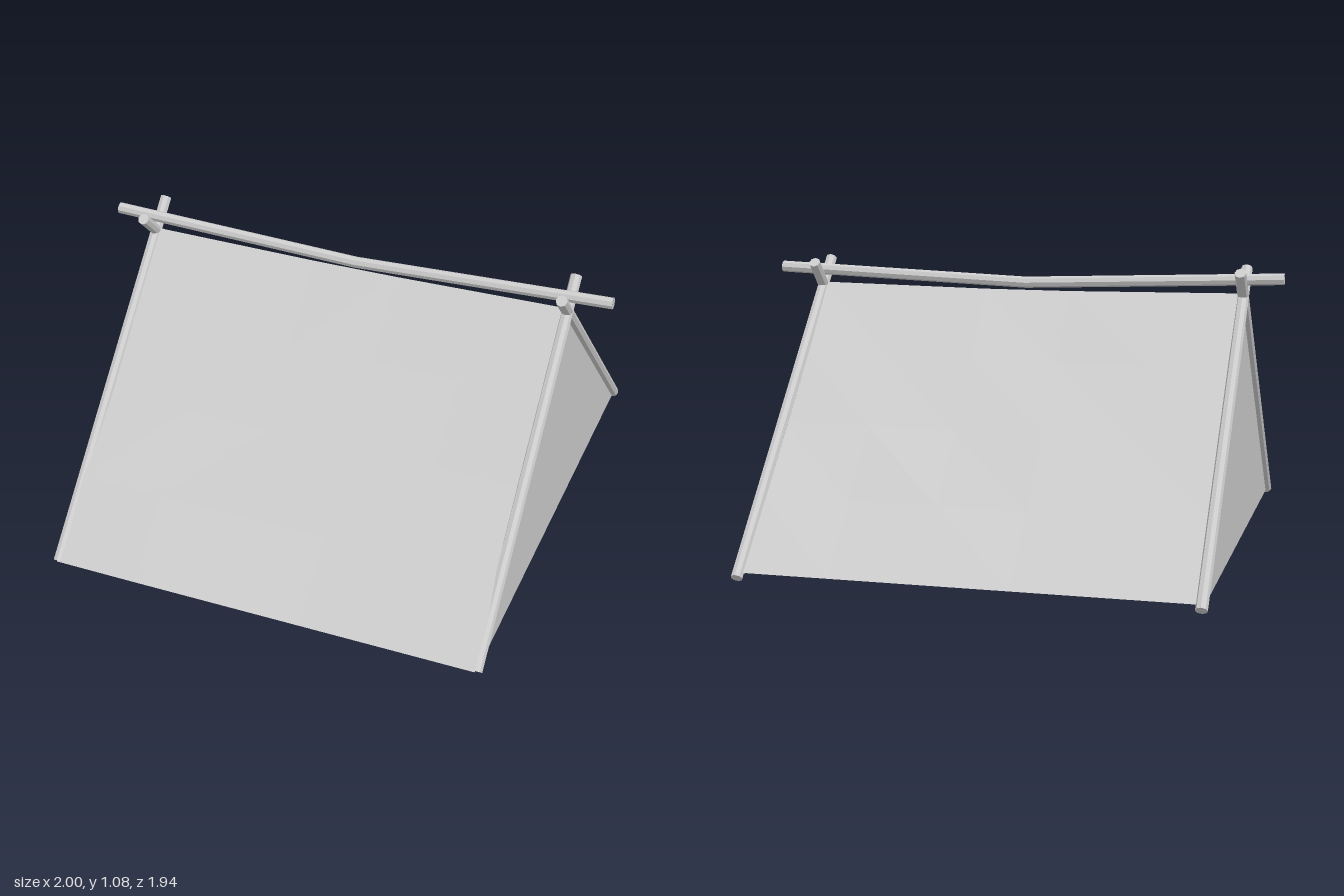
import * as THREE from 'three';

const CZ = -0.01;      // depth of the ridge line
const CX = -0.007;     // middle of the frame across
const POLE_X = 0.839;
const R = 0.022;       // pole radius

// Height of the sagging ridge pole along x
const ridgeY = (x) => 1.0 + 0.038 * Math.abs(x);

function makePole(a, b, mat) {
  const dir = b.clone().sub(a);
  const mesh = new THREE.Mesh(new THREE.CylinderGeometry(R, R, dir.length(), 8), mat);
  mesh.position.copy(a).add(b).multiplyScalar(0.5);
  mesh.quaternion.setFromUnitVectors(new THREE.Vector3(0, 1, 0), dir.normalize());
  return mesh;
}

// Slightly slack cloth sheet from the ridge down to the ground edge
function makeSheet(side, halfWidth, footZ, mat) {
  const cols = 5, rows = 4;
  const geo = new THREE.PlaneGeometry(2, 1, cols, rows);
  const p = geo.attributes.position;
  for (let i = 0; i < p.count; i++) {
    const u = p.getX(i), t = 0.5 - p.getY(i);
    const x = u * halfWidth;
    const top = 0.968 + 0.012 * Math.abs(u);
    const hang = Math.sin(Math.PI * t);
    const inward = hang * (0.018 - 0.008 * u * u + Math.sin(i * 2.7 + side) * 0.004);
    p.setXYZ(i, CX + x,
      top + (0.033 - top) * t - inward * 0.7,
      CZ + (footZ - CZ) * t - side * inward * 0.7);
  }
  // One ground corner of the front sheet is tucked in a little
  if (side > 0) {
    const c = rows * (cols + 1);
    p.setY(c, 0.023);
    p.setZ(c, footZ - 0.012);
  }
  // The back sheet faces the other way
  if (side < 0) {
    const idx = geo.index.array;
    for (let i = 0; i < idx.length; i += 3) [idx[i], idx[i + 1]] = [idx[i + 1], idx[i]];
  }
  geo.computeVertexNormals();
  return new THREE.Mesh(geo, mat);
}

export function createModel() {
  const group = new THREE.Group();
  const wood = new THREE.MeshStandardMaterial({ color: 0xcccccc, flatShading: true });
  const cloth = new THREE.MeshStandardMaterial({
    color: 0xcccccc, flatShading: true, side: THREE.DoubleSide,
  });
  const add = (mesh, name) => { mesh.name = name; group.add(mesh); };

  // Crossed pole pairs at both ends
  for (const sx of [-1, 1]) {
    for (const sz of [-1, 1]) {
      const x = CX + sx * POLE_X;
      const foot = new THREE.Vector3(x, 0.016, CZ + sz * 0.952);
      const tip = new THREE.Vector3(x, 1.067, CZ - sz * 0.098);
      add(makePole(foot, tip, wood), `${sz > 0 ? 'front' : 'back'}Pole${sx > 0 ? 'Left' : 'Right'}`);
    }
  }

  // Sagging ridge pole resting in the crossings
  const pts = [-1, -0.5, 0, 0.5, 1].map((x) => new THREE.Vector3(x, ridgeY(x), CZ));
  const ridge = new THREE.Group();
  ridge.add(new THREE.Mesh(
    new THREE.TubeGeometry(new THREE.CatmullRomCurve3(pts), 4, R, 8), wood));
  for (const sx of [-1, 1]) {
    const cap = new THREE.Mesh(new THREE.CircleGeometry(R, 8), wood);
    cap.position.copy(pts[sx < 0 ? 0 : 4]);
    cap.rotation.y = sx * Math.PI / 2;
    ridge.add(cap);
  }
  add(ridge, 'ridgePole');

  // Roof cloth
  add(makeSheet(1, 0.84, 0.967, cloth), 'frontCloth');
  add(makeSheet(-1, 0.835, -0.95, cloth), 'backCloth');

  // Triangular end walls
  const tri = new THREE.Shape([
    new THREE.Vector2(-0.95, 0.012),
    new THREE.Vector2(0.95, 0.012),
    new THREE.Vector2(0, 0.965),
  ]);
  for (const sx of [-1, 1]) {
    const wall = new THREE.Mesh(new THREE.ShapeGeometry(tri), cloth);
    wall.rotation.y = sx * Math.PI / 2;
    wall.position.set(CX + sx * POLE_X, 0, CZ);
    add(wall, sx > 0 ? 'endWallLeft' : 'endWallRight');
  }
  return group;
}
